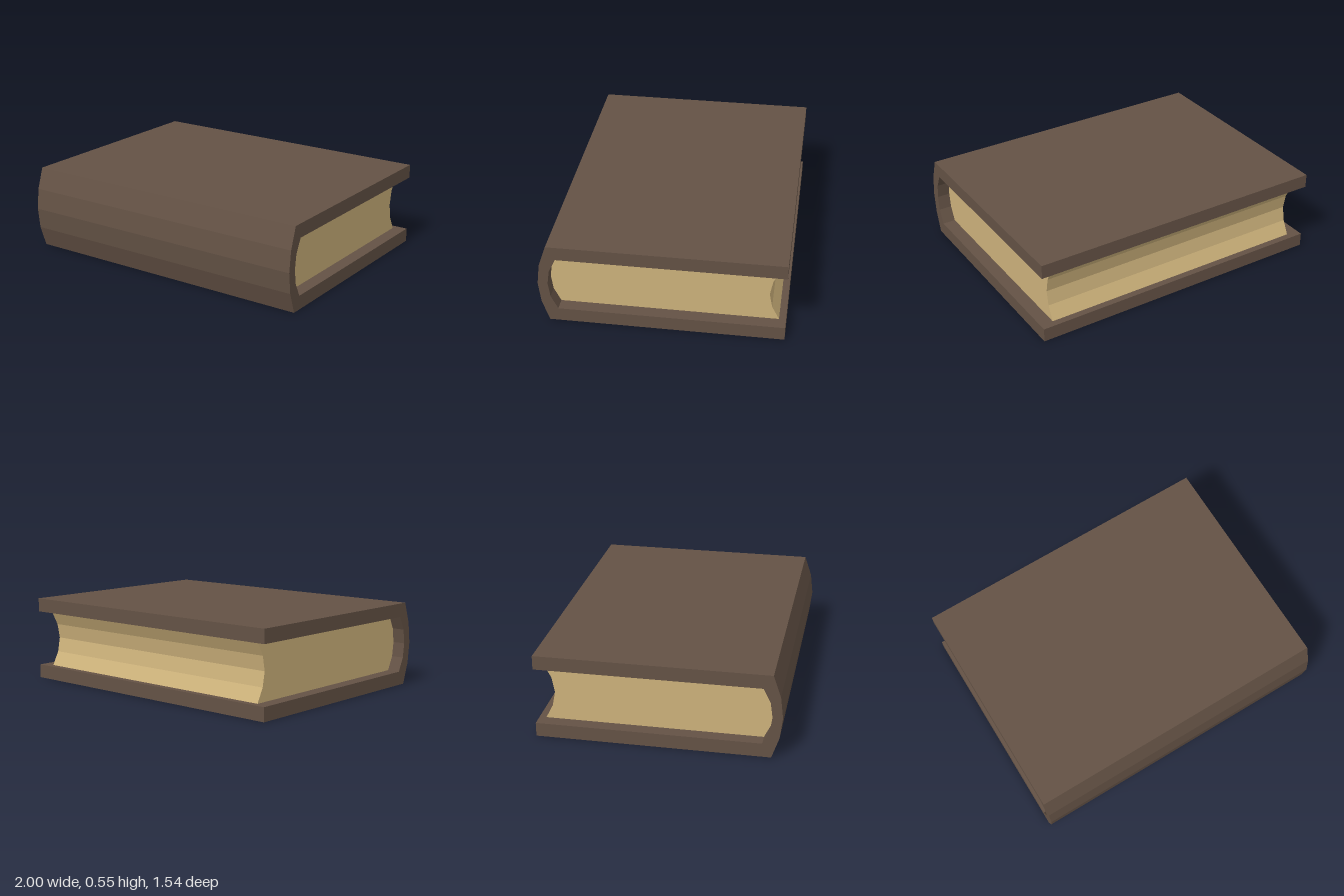
import * as THREE from 'three';

const MID = 0.275; // height of the book's horizontal mirror plane

// Extrudes a (z, y) outline along x, centred on x = 0
function extrudeAlongX(points, width, material, name) {
  const shape = new THREE.Shape(points.map(([z, y]) => new THREE.Vector2(z, y)));
  const geometry = new THREE.ExtrudeGeometry(shape, { depth: width, bevelEnabled: false });
  geometry.translate(0, 0, -width / 2);
  geometry.rotateY(-Math.PI / 2);
  const mesh = new THREE.Mesh(geometry, material);
  mesh.name = name;
  return mesh;
}

// Completes a lower half curve, ending at mid height, with its mirrored upper half
const mirrorUp = (half) => [
  ...half,
  ...half.slice(0, -1).reverse().map(([z, y]) => [z, 2 * MID - y]),
];

export function createModel() {
  const leather = new THREE.MeshStandardMaterial({ color: 0x645245, flatShading: true });
  leather.name = 'brown leather';
  const paper = new THREE.MeshStandardMaterial({ color: 0xcdb27b, flatShading: true });
  paper.name = 'aged paper';

  // Faceted curves, from bottom to top
  const spineOuter = mirrorUp([[0.705, 0], [0.752, 0.138], [0.768, MID]]);
  const spineInner = mirrorUp([[0.648, 0.09], [0.692, 0.18], [0.705, MID]]);
  const foreEdge = mirrorUp([[-0.724, 0.09], [-0.678, 0.18], [-0.66, MID]]);

  const book = new THREE.Group();
  book.name = 'book';

  // Cover: two boards joined by the rounded spine
  const back = -0.768;
  const coverOutline = [
    [back, 0], ...spineOuter, [back, 0.55], [back, 0.46],
    ...[...spineInner].reverse(), [back, 0.09],
  ];
  book.add(extrudeAlongX(coverOutline, 2, leather, 'cover'));

  // Page block: rounded at the spine, hollowed at the fore edge, inset at both ends
  const pageOutline = [...spineInner, ...[...foreEdge].reverse()];
  book.add(extrudeAlongX(pageOutline, 1.83, paper, 'pageBlock'));

  return book;
}
